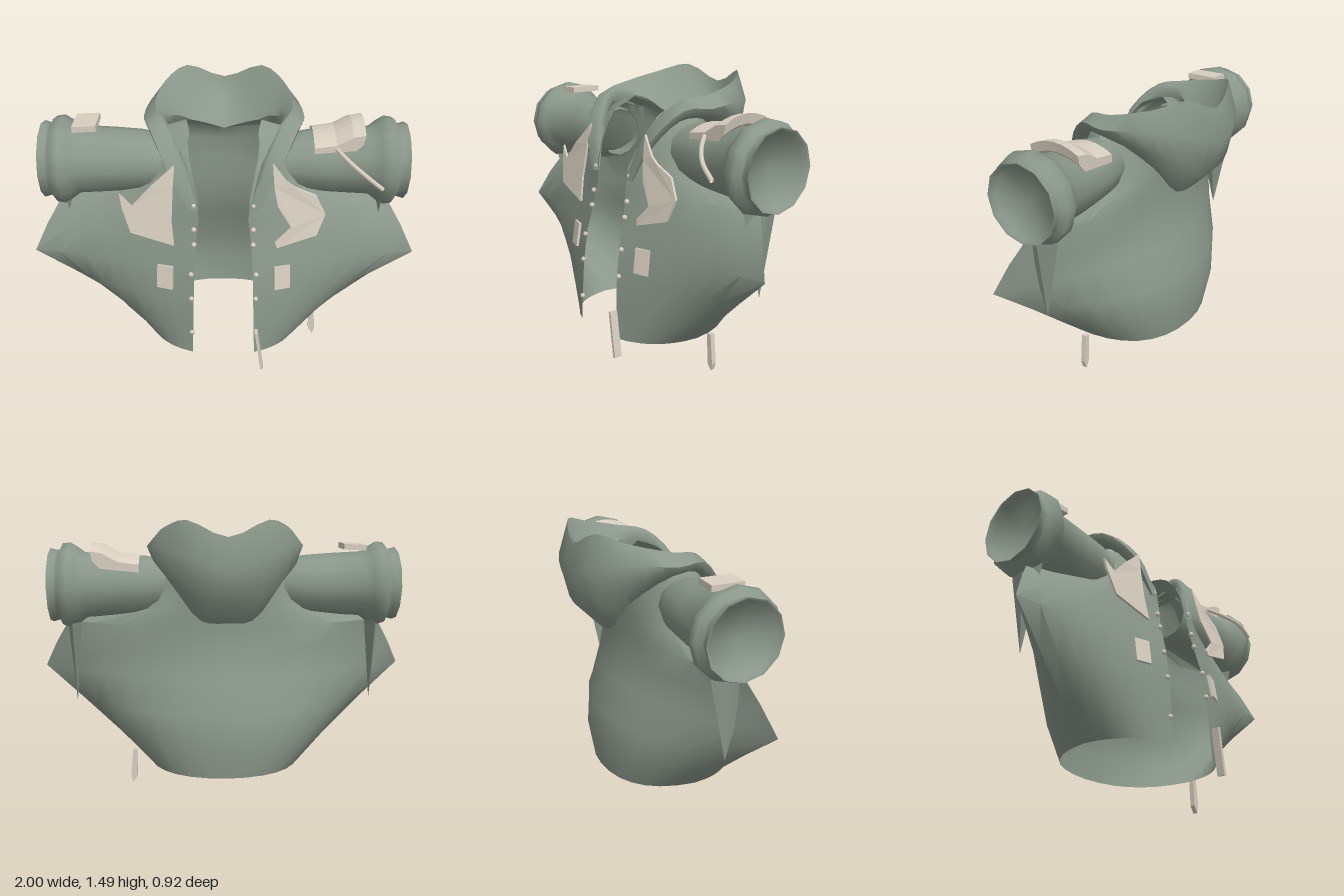
import * as THREE from 'three';
import { toCreasedNormals } from 'three/addons/utils/BufferGeometryUtils.js';

const V = (x, y, z) => new THREE.Vector3(x, y, z);
const cloth = new THREE.MeshStandardMaterial({ color: 0x8a978a, side: THREE.DoubleSide });
const tan = new THREE.MeshStandardMaterial({ color: 0xd8cfc0, side: THREE.DoubleSide });

// Skin a list of equally long point rows
function loft(rows, closed, crease = 0.8) {
  const n = rows[0].length, pos = [], idx = [];
  rows.forEach(r => r.forEach(p => pos.push(p.x, p.y, p.z)));
  for (let j = 0; j < rows.length - 1; j++) {
    for (let i = 0; i < (closed ? n : n - 1); i++) {
      const a = j * n + i, b = j * n + (i + 1) % n;
      idx.push(a, b, b + n, a, b + n, a + n);
    }
  }
  const g = new THREE.BufferGeometry();
  g.setAttribute('position', new THREE.Float32BufferAttribute(pos, 3));
  g.setIndex(idx);
  return toCreasedNormals(g, crease);
}

// Open jacket body: rows of front edge xyz, side tip xyz, back y and z, roundness
function bodyGeometry() {
  const levels = [
    [0.165, 0.15, 0.41, 0.42, 0.15, 0.08, 0.14, -0.29, 0.95],
    [0.16, 0.30, 0.405, 0.59, 0.30, 0.10, 0.30, -0.31, 0.85],
    [0.155, 0.48, 0.395, 0.79, 0.48, 0.14, 0.48, -0.29, 0.72],
    [0.15, 0.66, 0.37, 1.00, 0.66, 0.19, 0.66, -0.22, 0.53],
    [0.14, 0.80, 0.335, 0.93, 0.80, 0.14, 0.80, -0.18, 0.53],
    [0.125, 0.92, 0.315, 0.85, 0.93, 0.08, 0.92, -0.17, 0.56],
    [0.13, 1.04, 0.30, 0.52, 1.00, 0.05, 1.04, -0.17, 0.75],
    [0.15, 1.13, 0.26, 0.40, 1.22, 0.04, 1.15, -0.17, 0.80],
    [0.17, 1.22, 0.21, 0.34, 1.30, 0.03, 1.22, -0.15, 0.90],
    [0.18, 1.28, 0.16, 0.19, 1.34, 0.02, 1.24, -0.10, 0.85],
  ];
  const rows = levels.map(([ex, ey, ez, tx, ty, tz, by, bz, k]) => {
    const edge = V(ex, ey, ez), tip = V(tx, ty, tz), back = V(0, by, bz);
    const front = new THREE.QuadraticBezierCurve3(edge, V(tx * k, (ey + ty) / 2, ez * (0.52 + 0.32 * k)), tip);
    const rear = new THREE.QuadraticBezierCurve3(tip, V(tx * k ** 1.5, (by + ty) / 2, bz), back);
    const half = [...front.getPoints(7), ...rear.getPoints(7).slice(1)];
    return [...half, ...half.slice(0, -1).reverse().map(p => V(-p.x, p.y, p.z))];
  });
  return loft(rows, false);
}

// Lowered hood running into the lapels: sections from centre back to front,
// each neck, inner lip, top, outer fold, lower fold, bottom, underside
function hoodGeometry() {
  const sections = [
    [0, 1.22, -0.15, 0, 1.30, -0.36, 0, 1.41, -0.41, 0, 1.25, -0.46, 0, 1.08, -0.40, 0, 0.97, -0.29, 0, 1.15, -0.19],
    [0.13, 1.25, -0.14, 0.17, 1.36, -0.29, 0.20, 1.49, -0.365, 0.20, 1.32, -0.42, 0.17, 1.12, -0.39, 0.13, 0.98, -0.27, 0.12, 1.15, -0.18],
    [0.23, 1.31, -0.10, 0.28, 1.37, -0.15, 0.31, 1.45, -0.24, 0.36, 1.36, -0.26, 0.33, 1.24, -0.27, 0.26, 1.14, -0.22, 0.23, 1.21, -0.15],
    [0.29, 1.34, 0, 0.31, 1.37, 0, 0.35, 1.40, -0.03, 0.41, 1.34, -0.02, 0.39, 1.30, -0.02, 0.34, 1.28, -0.02, 0.30, 1.29, 0],
    [0.27, 1.32, 0.11, 0.28, 1.36, 0.12, 0.30, 1.37, 0.12, 0.37, 1.34, 0.13, 0.36, 1.30, 0.13, 0.32, 1.28, 0.12, 0.28, 1.29, 0.11],
    [0.19, 1.19, 0.22, 0.20, 1.22, 0.24, 0.22, 1.23, 0.25, 0.28, 1.19, 0.27, 0.27, 1.16, 0.26, 0.25, 1.14, 0.25, 0.20, 1.15, 0.22],
    [0.13, 0.98, 0.30, 0.13, 0.98, 0.315, 0.15, 0.98, 0.32, 0.18, 0.98, 0.315, 0.18, 0.98, 0.31, 0.17, 0.98, 0.30, 0.15, 0.98, 0.295],
  ].map(s => [0, 3, 6, 9, 12, 15, 18].map(k => V(s[k], s[k + 1], s[k + 2])));
  const mirrored = sections.slice(1).map(s => s.map(p => V(-p.x, p.y, p.z)));
  const all = [...sections.reverse(), ...mirrored];
  const tracks = all[0].map((_, k) => new THREE.CatmullRomCurve3(all.map(s => s[k])));
  const rows = [];
  for (let i = 0; i <= 36; i++) rows.push(tracks.map(t => t.getPoint(i / 36)));
  return loft(rows, true, 1.0);
}

// Sleeve with rolled cuff and shallow closed end, along +x
function sleeveGeometry() {
  const profile = [
    [0.13, 0.30], [0.155, 0.42], [0.165, 0.55], [0.175, 0.74], [0.205, 0.78], [0.228, 0.82],
    [0.222, 0.86], [0.19, 0.875], [0.188, 0.89], [0.198, 0.925], [0.185, 0.92], [0.172, 0.895], [0, 0.86],
  ].map(([r, x]) => new THREE.Vector2(r, x));
  const g = new THREE.LatheGeometry(profile, 12);
  g.rotateZ(-Math.PI / 2);
  return toCreasedNormals(g, 1.2);
}

// Flat outline with thickness, its height (y) and depth (z) shifted by a rule
function plate(points, depth, steps, bend) {
  const shape = new THREE.Shape(points.map(([x, y]) => new THREE.Vector2(x, y)));
  const g = new THREE.ExtrudeGeometry(shape, { depth, steps, bevelEnabled: false });
  const p = g.attributes.position;
  for (let i = 0; i < p.count; i++) {
    const [dy, dz] = bend(p.getX(i), p.getY(i), p.getZ(i));
    p.setY(i, p.getY(i) + dy);
    p.setZ(i, p.getZ(i) + dz);
  }
  g.computeVertexNormals();
  return g;
}

export function createModel() {
  const model = new THREE.Group();
  const add = (name, geo, mat, x = 0, y = 0, z = 0, parent = model) => {
    const m = new THREE.Mesh(geo, mat);
    m.name = name;
    m.position.set(x, y, z);
    parent.add(m);
    return m;
  };

  add('jacketBody', bodyGeometry(), cloth);
  add('hood', hoodGeometry(), cloth);

  // Parts shared by both sides
  const flapOutlines = {
    1: [[0.24, 1.22], [0.31, 1.13], [0.35, 1.1], [0.46, 1.05], [0.51, 0.95], [0.47, 0.84],
      [0.27, 0.78], [0.26, 0.81], [0.34, 0.89], [0.27, 1.0], [0.25, 1.1]],
    [-1]: [[0.24, 1.21], [0.37, 1.09], [0.46, 0.99], [0.52, 1.05], [0.51, 0.98], [0.47, 0.85],
      [0.25, 0.79], [0.26, 0.92], [0.25, 1.1]],
  };
  const flapBend = (x, y) => [0, 0.338 - (y - 0.78) * 0.17 - Math.max(0, x - 0.33) * 0.12];
  const sleeve = sleeveGeometry();
  for (const s of [1, -1]) {
    const side = new THREE.Group();
    side.name = s > 0 ? 'leftSide' : 'rightSide';
    side.scale.x = s;
    model.add(side);

    add('sleeve', sleeve, cloth, 0, 1.13, 0.045, side);
    add('chestFlap', plate(flapOutlines[s], 0.012, 1, flapBend), tan, 0, 0, 0, side);

    // Pointed fold hanging under the cuff
    const foldGeo = new THREE.ConeGeometry(0.11, 0.46, 4).toNonIndexed();
    foldGeo.computeVertexNormals();
    const fold = add('hangingFold', foldGeo, cloth, 0.81, 0.72, 0.035, side);
    fold.scale.x = 0.35;
    fold.rotation.x = Math.PI + 0.03;

    // Small pocket tab
    const tab = add('pocketTab', new THREE.BoxGeometry(0.085, 0.13, 0.03), tan, 0.3, 0.595, 0.336, side);
    tab.rotation.set(-0.15, 0.3, 0.04);

    // Snaps along the front edge
    const snaps = [[1.0, 0.305], [0.87, 0.323], [0.79, 0.338], [0.63, 0.372], [0.49, 0.39]];
    if (s < 0) snaps.push([0.28, 0.402]);
    for (const [y, z] of snaps) {
      add('snap', new THREE.SphereGeometry(0.014, 8, 6), tan, y > 0.7 ? 0.15 : 0.167, y, z, side);
    }
  }

  // Shoulder patches, the larger one arched over the sleeve
  add('leftShoulderPatch', plate([[0.45, 1.25], [0.65, 1.27], [0.69, 1.31], [0.7, 1.36],
    [0.64, 1.35], [0.56, 1.305], [0.45, 1.29]], 0.28, 6,
  (x, y, z) => [-2 * (z - 0.14) ** 2, -0.11]), tan);
  const patch = add('rightShoulderPatch', new THREE.BoxGeometry(0.12, 0.03, 0.17), tan, -0.695, 1.332, 0.045);
  patch.rotation.z = 0.05;

  // Strap falling from the left shoulder patch
  const strap = new THREE.CatmullRomCurve3([V(0.56, 1.25, 0.17), V(0.62, 1.21, 0.24), V(0.7, 1.16, 0.3), V(0.78, 1.1, 0.315)]);
  add('shoulderStrap', new THREE.TubeGeometry(strap, 12, 0.012, 6), tan);

  // Straps hanging below the hem
  const ribbon = add('frontHemStrap', new THREE.BoxGeometry(0.016, 0.245, 0.042), tan, 0.19, 0.19, 0.435);
  ribbon.rotation.z = 0.14;
  const tag = add('sideHemStrap', plate([[-0.014, 0.2], [-0.018, 0.04], [0.004, 0], [0.018, 0.04], [0.012, 0.2]], 0.026, 1,
    () => [0, 0]), tan, 0.513, 0, 0.04);
  tag.rotation.z = 0.06;

  return model;
}
